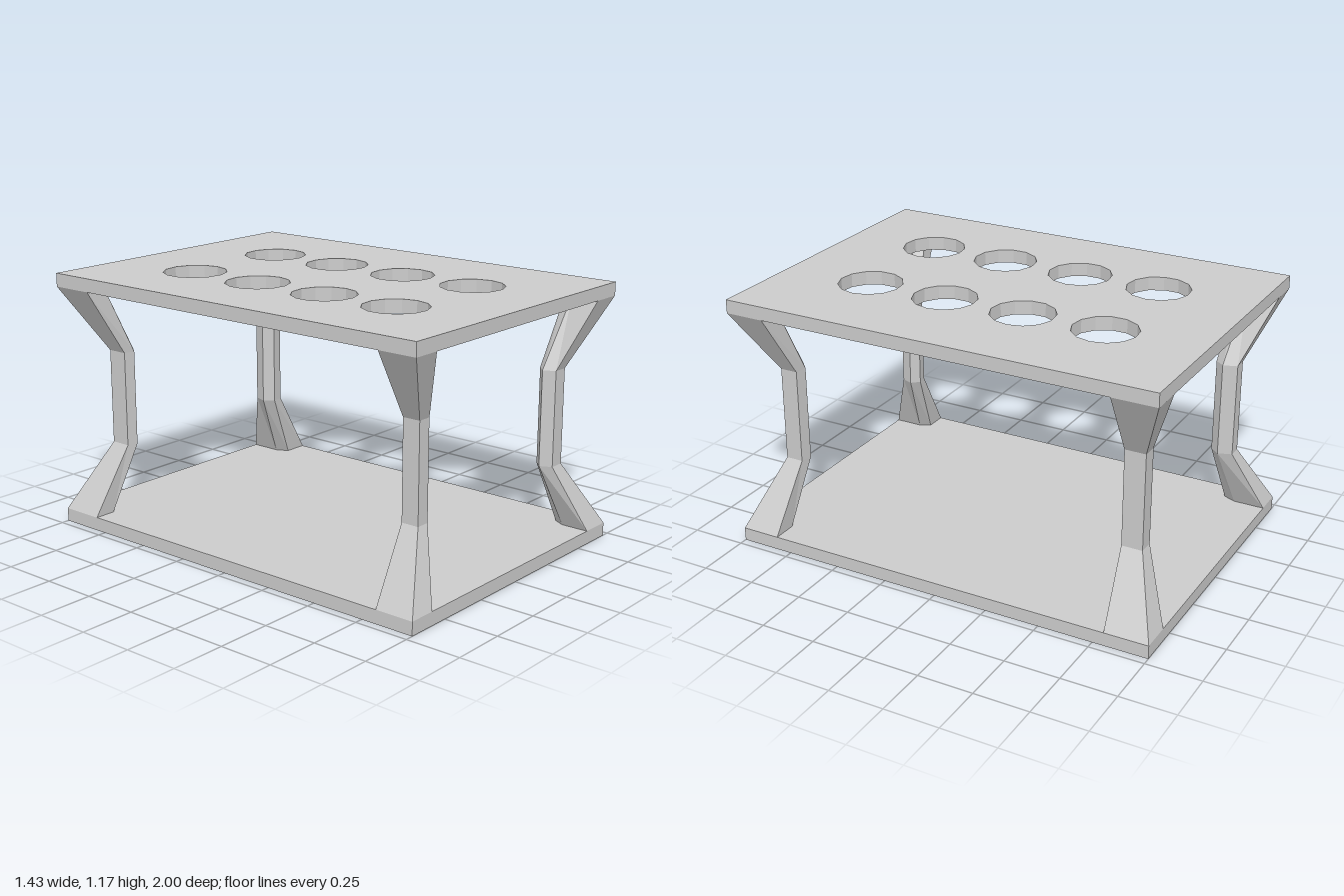
import * as THREE from 'three';

const X = 0.713, Z = 1, H = 1.167, T = 0.061; // half width, half depth, height, plate thickness
const material = new THREE.MeshStandardMaterial({ color: 0xcccccc, flatShading: true, side: THREE.DoubleSide });

function add(group, name, geometry) {
  const mesh = new THREE.Mesh(geometry, material);
  mesh.name = name;
  group.add(mesh);
}

// Open tube through rings of [x, y, z] points
function loft(rings, flip = false) {
  const pos = [];
  for (let r = 0; r < rings.length - 1; r++) {
    const lo = rings[r], hi = rings[r + 1], n = lo.length;
    for (let i = 0; i < n; i++) {
      const j = (i + 1) % n;
      const quad = [lo[i], hi[i], hi[j], lo[j]];
      if (flip) quad.reverse();
      for (const k of [0, 1, 2, 0, 2, 3]) pos.push(...quad[k]);
    }
  }
  const g = new THREE.BufferGeometry();
  g.setAttribute('position', new THREE.Float32BufferAttribute(pos, 3));
  g.computeVertexNormals();
  return g;
}

// Leg cross-sections as fractions of width and depth, measured inward from the corner
const END = [[0, 0], [1, 0], [1, 0.72], [0.8, 1], [0, 1]];
const WAIST = [[0, 0], [0.75, 0], [1, 0.6], [0.6, 1], [0, 0.9]];

function endSection(sx, sz, y) {
  const w = sx > 0 ? 0.143 : 0.127, d = sz > 0 ? 0.18 : 0.2;
  return END.map(([a, b]) => [sx * (X - a * w), y, sz * (Z - b * d)]);
}

function waistSection(sx, sz, y) {
  const x = sx > 0 ? 0.522 : 0.525, w = sx > 0 ? 0.094 : 0.083;
  const z = sz > 0 ? 0.88 : 0.875, d = sz > 0 ? 0.09 : 0.105;
  return WAIST.map(([a, b]) => [sx * (x - a * w), y, sz * (z - b * d)]);
}

export function createModel() {
  const model = new THREE.Group();
  model.name = 'rack';
  const corners = [[-1, -1], [1, -1], [1, 1], [-1, 1]];

  // Top plate with two rows of four round holes
  const plate = new THREE.Shape(corners.map(([sx, sz]) => new THREE.Vector2(sx * X, sz * Z)));
  const sides = 13, radius = 0.143;
  for (const x of [-0.288, 0.246]) {
    for (const z of [-0.556, -0.178, 0.199, 0.575]) {
      const points = [];
      for (let i = 0; i < sides; i++) {
        const t = (i / sides) * Math.PI * 2;
        points.push(new THREE.Vector2(x + radius * Math.cos(t), z + radius * Math.sin(t)));
      }
      plate.holes.push(new THREE.Path(points));
    }
  }
  const top = new THREE.ExtrudeGeometry(plate, { depth: T, bevelEnabled: false });
  add(model, 'topPlate', top.rotateX(Math.PI / 2).translate(0, H, 0));

  // Base skin, cut away at the corners where the hollow legs open into it
  const outline = [];
  for (const [sx, sz] of corners) {
    const cut = endSection(sx, sz, T).slice(1);
    if (sx * sz > 0) cut.reverse();
    outline.push(...cut.map(([x, , z]) => new THREE.Vector2(x, -z)));
  }
  const skin = new THREE.ShapeGeometry(new THREE.Shape(outline));
  add(model, 'basePlate', skin.rotateX(-Math.PI / 2).translate(0, T, 0));

  // Base rim, open underneath
  const rim = (y) => corners.map(([sx, sz]) => [sx * X, y, sz * Z]);
  add(model, 'baseRim', loft([rim(0), rim(T)]));

  // Four hollow legs bent in towards the middle
  for (const [sx, sz] of corners) {
    const rings = [
      endSection(sx, sz, T),
      waistSection(sx, sz, 0.365),
      waistSection(sx, sz, 0.8),
      endSection(sx, sz, H - T),
    ];
    const name = (sz > 0 ? 'front' : 'back') + (sx > 0 ? 'Left' : 'Right') + 'Leg';
    add(model, name, loft(rings, sx * sz < 0));
  }
  return model;
}
